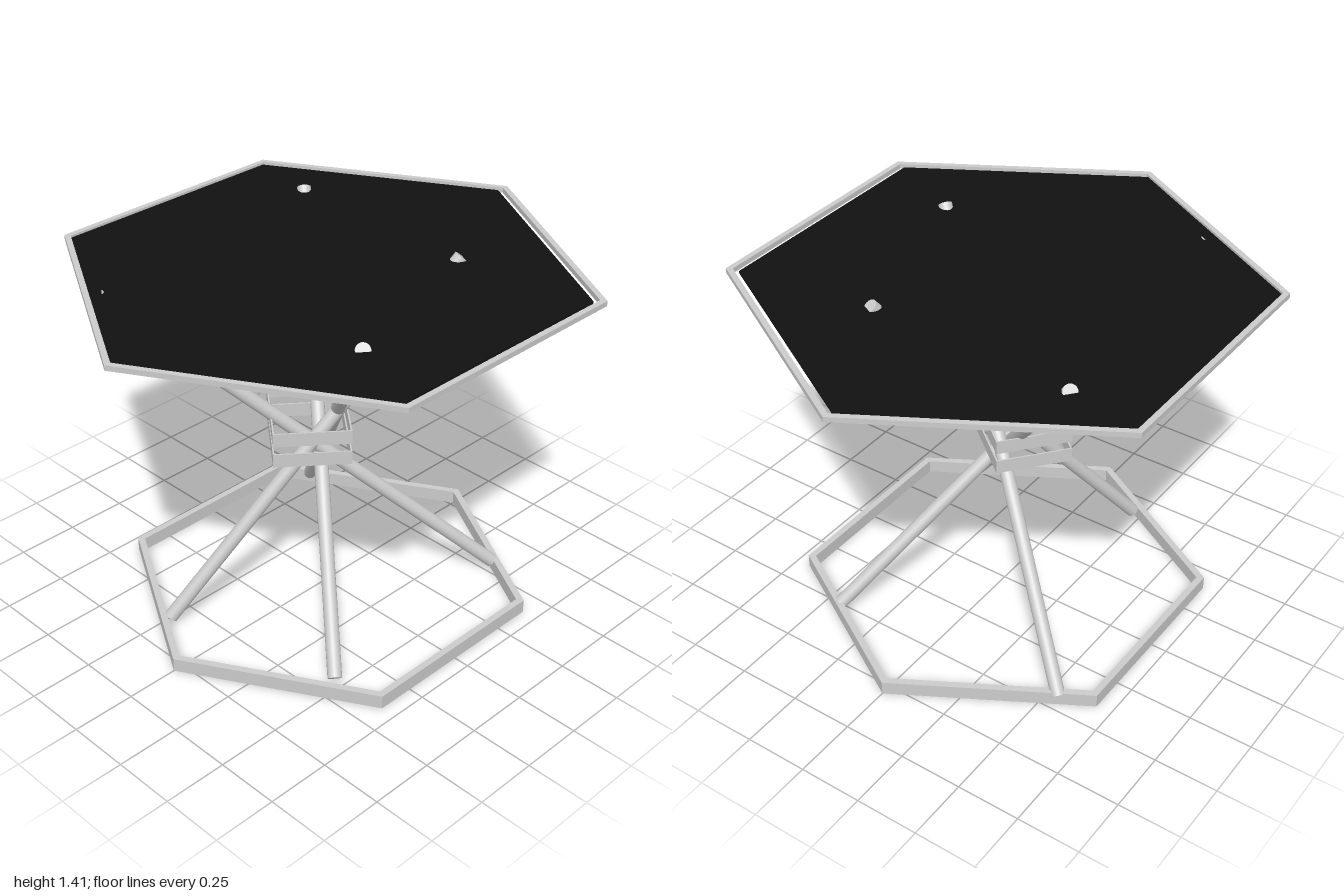
import * as THREE from 'three';

const grey = new THREE.MeshStandardMaterial({ color: 0xcccccc });
const black = new THREE.MeshStandardMaterial({ color: 0x111111 });

// Outline points of a hexagon with corners on the x axis
const hexagon = (r) => Array.from({ length: 6 }, (_, i) =>
  new THREE.Vector2(r * Math.cos(i * Math.PI / 3), r * Math.sin(i * Math.PI / 3)));

const rectangle = (w, d) => [[-1, -1], [1, -1], [1, 1], [-1, 1]].map(([x, y]) =>
  new THREE.Vector2(x * w / 2, y * d / 2));

// Flat plate or ring lying in the ground plane, rising from y by height
function slab(name, outline, hole, y, height, material = grey) {
  const shape = new THREE.Shape(outline);
  if (hole) shape.holes.push(new THREE.Path(hole));
  const geometry = new THREE.ExtrudeGeometry(shape, { depth: height, bevelEnabled: false });
  geometry.rotateX(-Math.PI / 2);
  const mesh = new THREE.Mesh(geometry, material);
  mesh.name = name;
  mesh.position.y = y;
  return mesh;
}

// Round bar between two points
function rod(name, from, to, radius) {
  const a = new THREE.Vector3(...from), b = new THREE.Vector3(...to);
  const axis = b.clone().sub(a);
  const mesh = new THREE.Mesh(new THREE.CylinderGeometry(radius, radius, axis.length(), 24), grey);
  mesh.name = name;
  mesh.position.copy(a).add(b).multiplyScalar(0.5);
  mesh.quaternion.setFromUnitVectors(new THREE.Vector3(0, 1, 0), axis.normalize());
  return mesh;
}

export function createModel() {
  const model = new THREE.Group();
  model.name = 'hexagonalTable';

  // Table top: thin frame with a dark panel sitting slightly off centre
  model.add(slab('topFrame', hexagon(1), hexagon(0.975), 1.37, 0.02));
  const panel = slab('topPanel', hexagon(0.967), null, 1.373, 0.008, black);
  panel.position.x = -0.006;
  panel.position.z = -0.0125;
  model.add(panel);

  // Base ring
  model.add(slab('baseRing', hexagon(0.795), hexagon(0.765), 0, 0.055));

  // Four crossing legs: foot, then top
  const legs = [
    [[-0.43, 0.035, 0.48], [0.435, 1.386, -0.56]],
    [[-0.62, 0.035, -0.22], [0.405, 1.39, 0.285]],
    [[0.46, 0.035, -0.56], [-0.335, 1.386, 0.51]],
    [[0.525, 0.04, 0.415], [-0.69, 1.365, -0.43]],
  ];
  legs.forEach(([foot, top], i) => model.add(rod(`leg${i + 1}`, foot, top, 0.027)));

  // Two thin rectangular bands around the crossing
  [0.672, 0.76].forEach((y, i) => {
    const band = slab(`band${i + 1}`, rectangle(0.362, 0.293), rectangle(0.35, 0.281), y, 0.055);
    band.position.x = -0.058;
    band.position.z = -0.034;
    band.rotation.y = 0.883;
    model.add(band);
  });

  return model;
}
